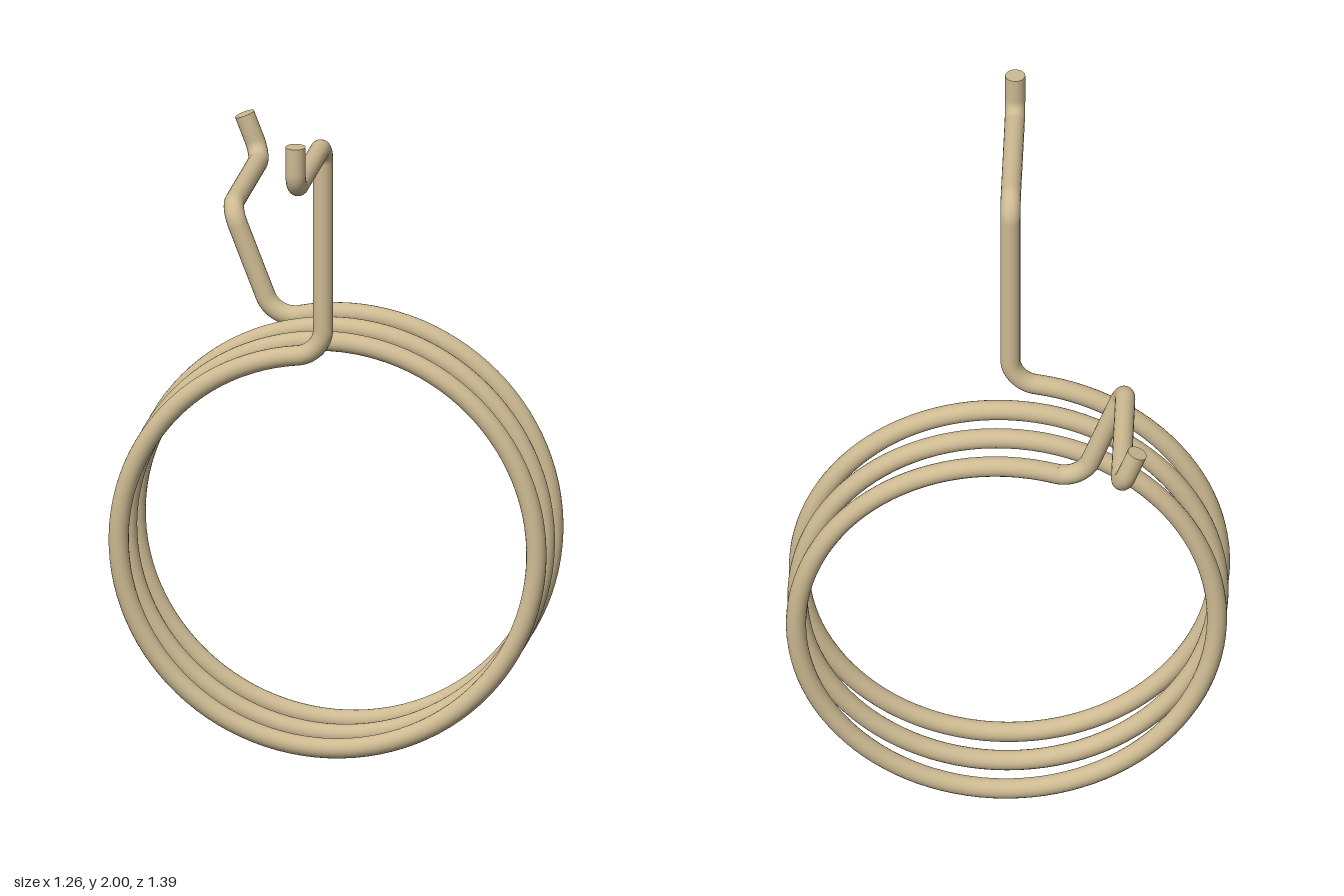
import * as THREE from 'three';

const WIRE = 0.029, RADIUS = 0.603, CENTER_Y = 0.632;
const PITCH = 0.135, FRONT_Z = 0.225, TURNS = 3;
const END_TILT = THREE.MathUtils.degToRad(21);
const COIL_BEND = 0.075, LEG_BEND = 0.055;

// Helix point; the angle runs from the top towards -x, from front to back
const helix = (a) => new THREE.Vector3(
  -RADIUS * Math.sin(a), CENTER_Y + RADIUS * Math.cos(a), FRONT_Z - PITCH * a / (2 * Math.PI));
const helixTangent = (a) => new THREE.Vector3(
  -RADIUS * Math.cos(a), -RADIUS * Math.sin(a), -PITCH / (2 * Math.PI)).normalize();

class HelixCurve extends THREE.Curve {
  constructor(a0, a1) { super(); this.a0 = a0; this.a1 = a1; }
  getPoint(t, target = new THREE.Vector3()) {
    return target.copy(helix(this.a0 + (this.a1 - this.a0) * t));
  }
}

// Straight runs joined by round bends; bends[i] is the setback at inner point i + 1
function bentPath(points, bends) {
  const path = new THREE.CurvePath();
  path.arcLengthDivisions = 800;
  let from = points[0];
  bends.forEach((s, i) => {
    const corner = points[i + 1];
    const dirIn = points[i].clone().sub(corner).normalize();
    const dirOut = points[i + 2].clone().sub(corner).normalize();
    const at = (dir, d) => corner.clone().addScaledVector(dir, d);
    const start = at(dirIn, s), end = at(dirOut, s);
    if (from.distanceTo(start) > 1e-4) path.add(new THREE.LineCurve3(from, start));
    path.add(new THREE.CubicBezierCurve3(start, at(dirIn, s * 0.448), at(dirOut, s * 0.448), end));
    from = end;
  });
  path.add(new THREE.LineCurve3(from, points[points.length - 1]));
  return path;
}

export function createModel() {
  const model = new THREE.Group();
  const material = new THREE.MeshStandardMaterial({ color: 0xcdba92 });

  const addMesh = (name, geometry, parent) => {
    const mesh = new THREE.Mesh(geometry, material);
    mesh.name = name;
    parent.add(mesh);
    return mesh;
  };

  // Coil
  const a0 = COIL_BEND / RADIUS;
  const a1 = TURNS * 2 * Math.PI + END_TILT - a0;
  addMesh('coil', new THREE.TubeGeometry(new HelixCurve(a0, a1), 320, WIRE, 20), model);

  // Leg: bends radially out of the coil, runs along z, then turns outward to the tip
  const addLeg = (name, angle, sign, outward, rise, tipRise, tipZ) => {
    const leg = new THREE.Group();
    leg.name = name;
    model.add(leg);
    const start = helix(angle);
    const corner = start.clone().addScaledVector(helixTangent(angle), sign * COIL_BEND);
    const top = corner.clone().addScaledVector(outward, rise);
    const far = top.clone().setZ(tipZ);
    const tip = far.clone().addScaledVector(outward, tipRise);
    const path = bentPath([start, corner, top, far, tip], [COIL_BEND, LEG_BEND, LEG_BEND]);
    addMesh(name + 'Wire', new THREE.TubeGeometry(path, 160, WIRE, 20), leg);
    // Flat end of the wire
    const cap = addMesh(name + 'Tip', new THREE.CircleGeometry(WIRE, 20), leg);
    cap.position.copy(tip);
    cap.quaternion.setFromUnitVectors(new THREE.Vector3(0, 0, 1), outward);
  };

  const up = new THREE.Vector3(0, 1, 0);
  const tilted = new THREE.Vector3(-Math.sin(END_TILT), Math.cos(END_TILT), 0);
  addLeg('frontLeg', a0, -1, up, 0.632, 0.133, 0.664);
  addLeg('backLeg', a1, 1, tilted, 0.355, 0.135, -0.664);

  return model;
}
